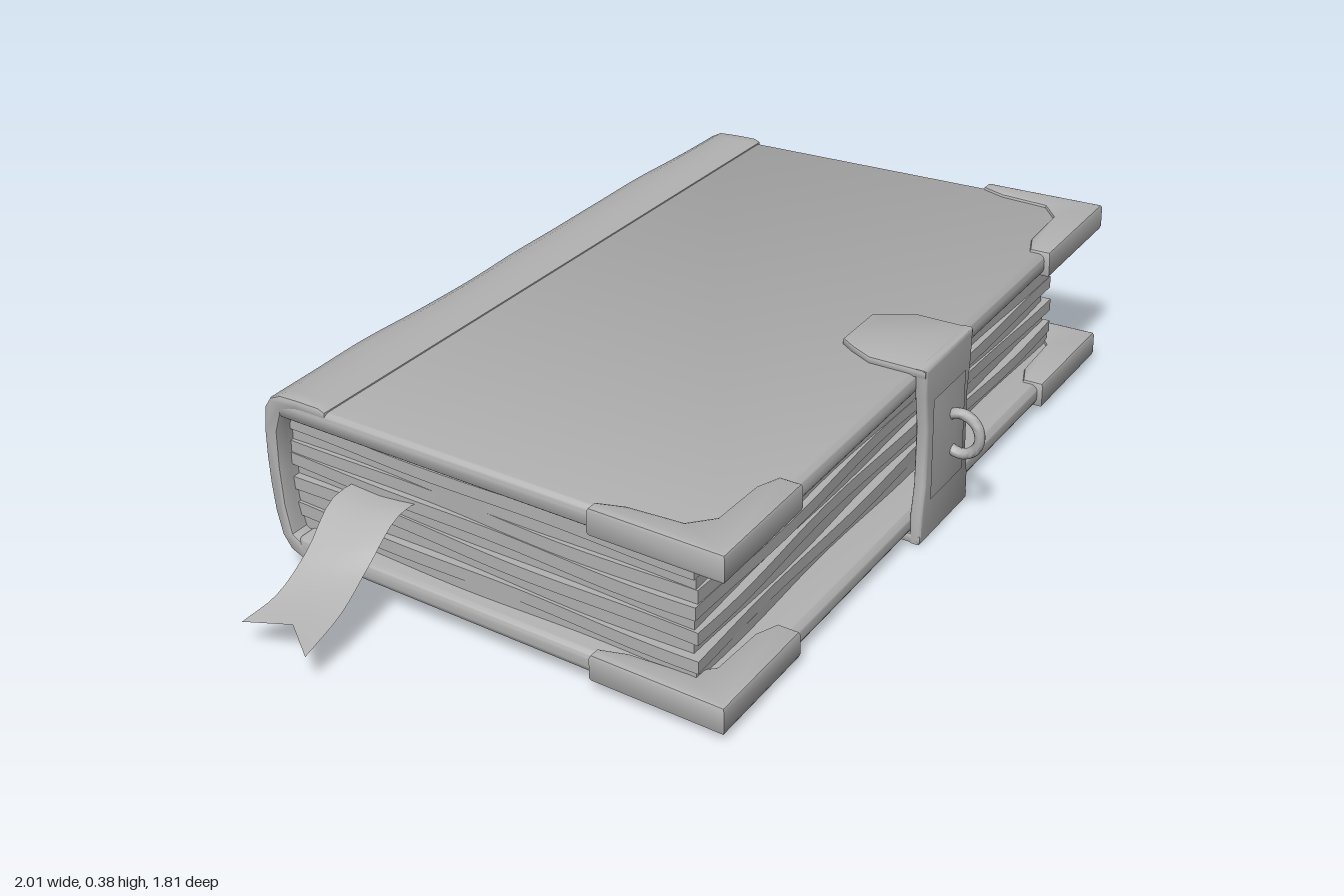
import * as THREE from 'three';
import { toCreasedNormals } from 'three/addons/utils/BufferGeometryUtils.js';
import { RoundedBoxGeometry } from 'three/addons/geometries/RoundedBoxGeometry.js';

// Book space: x runs along the spine (0..L), z from spine (0) to fore edge (1), y up.
const L = 1.6;
// Cover corners on the ground as [x, z]: spine left, spine right, fore right, fore left
const A = [-0.88, 0.02], B = [0.38, -0.91], C = [0.99, -0.205], D = [-0.315, 0.89];

function toWorld(p) {
  const s = p.x / L, t = p.z;
  const mix = (i) => (1 - t) * ((1 - s) * A[i] + s * B[i]) + t * ((1 - s) * D[i] + s * C[i]);
  // the bottom lifts a little towards the spine
  const y = p.y + (1 - t) * (0.035 - 0.025 * p.y / 0.37);
  return p.set(mix(0), y, mix(1));
}

function moveVertices(geo, rule) {
  const pos = geo.attributes.position, p = new THREE.Vector3();
  for (let i = 0; i < pos.count; i++) {
    rule(p.fromBufferAttribute(pos, i));
    pos.setXYZ(i, p.x, p.y, p.z);
  }
  return geo;
}

const shapeOf = (pts) => new THREE.Shape(pts.map(([x, y]) => new THREE.Vector2(x, y)));

// Flat plate from an [x, z] outline between two heights
function plate(pts, y0, y1, bevel = 0.004) {
  const geo = new THREE.ExtrudeGeometry(shapeOf(pts), {
    depth: y1 - y0 - 2 * bevel, bevelThickness: bevel, bevelSize: bevel, bevelOffset: -bevel, bevelSegments: 2,
  });
  return geo.rotateX(Math.PI / 2).translate(0, y1 - bevel, 0);
}

function block(x0, x1, y0, y1, z0, z1, r) {
  return new RoundedBoxGeometry(x1 - x0, y1 - y0, z1 - z0, 3, r)
    .translate((x0 + x1) / 2, (y0 + y1) / 2, (z0 + z1) / 2);
}

export function createModel() {
  const book = new THREE.Group();
  book.name = 'book';
  const grey = new THREE.MeshStandardMaterial({ color: 0xb2b2b2, side: THREE.DoubleSide });
  grey.name = 'grey';

  const add = (name, geo, inWorld = false) => {
    if (!inWorld) moveVertices(geo, toWorld);
    const mesh = new THREE.Mesh(toCreasedNormals(geo, 0.7), grey);
    mesh.name = name;
    book.add(mesh);
    return mesh;
  };

  // Cover boards
  add('bottomCover', block(0, L, 0.017, 0.06, 0.07, 1, 0.014));
  add('topCover', block(0, L, 0.313, 0.357, 0.04, 1, 0.014));

  // Pages: uneven layers with wavy edges
  const layers = 10, y0 = 0.055, step = (0.318 - y0) / layers;
  const jitter = [0.4, 0, 0.8, 0.3, 1, 0.1, 0.6, 0.9, 0.2, 0.5];
  for (let i = 0; i < layers; i++) {
    const inset = 0.016 * jitter[i];
    const x0 = 0.035 + inset, x1 = 1.545 - inset, z0 = 0.03, z1 = 0.932 - inset;
    const geo = new THREE.BoxGeometry(x1 - x0, step, z1 - z0, 40, 1, 24)
      .translate((x0 + x1) / 2, y0 + step * (i + 0.5), (z0 + z1) / 2);
    moveVertices(geo, (p) => {
      const k = Math.sin(Math.PI * (p.y - y0) / (step * layers));
      p.y += 0.007 * k * Math.sin(p.x * 5 + 1) * Math.cos(p.z * 4);
      if (p.z > z1 - 0.001) p.z += 0.004 * Math.sin(p.x * 9 + i * 2.1);
      if (p.x < x0 + 0.001 || p.x > x1 - 0.001) p.x += 0.004 * Math.sin(p.z * 11 + i * 1.7);
    });
    add('pages' + (i + 1), geo);
  }

  // Spine: a C-shaped section wrapped round the back, swelling at three raised bands
  const outer = [[0.155, 0.36], [0.14, 0.366], [0.09, 0.366], [0.05, 0.364], [0.025, 0.352], [0.011, 0.33],
    [0.004, 0.28], [0.003, 0.22], [0.009, 0.16], [0.02, 0.1], [0.035, 0.05], [0.055, 0.024], [0.08, 0.014],
    [0.12, 0.012], [0.155, 0.016]];
  const inner = [[0.155, 0.03], [0.09, 0.04], [0.06, 0.06], [0.045, 0.12], [0.035, 0.2], [0.035, 0.28],
    [0.05, 0.33], [0.09, 0.345], [0.155, 0.345]];
  const spine = new THREE.ExtrudeGeometry(shapeOf([...outer, ...inner].map(([z, y]) => [-z, y])), {
    depth: L - 0.012, steps: 64, bevelThickness: 0.006, bevelSize: 0.005, bevelOffset: -0.005, bevelSegments: 2,
  }).rotateY(Math.PI / 2).translate(0.006, 0, 0);
  moveVertices(spine, (p) => {
    const side = Math.max(0, 1 - p.z / 0.06);
    const height = Math.max(0, 1 - Math.abs(p.y - 0.2) / 0.19);
    const band = Math.cos((p.x / L - 0.5) * Math.PI * 2 / 0.31);
    const swell = Math.min(1, height * (1.5 + 0.7 * band));
    p.z -= side * (0.012 * band * swell + 0.006 * Math.sin(p.x * 7));
  });
  add('spine', spine);

  // Corner guards: L-shaped rims on the fore corners of both boards
  const guard = [[-0.012, 1.012], [0.265, 1.012], [0.265, 0.965], [0.215, 0.945], [0.09, 0.94],
    [0.045, 0.9], [0.035, 0.79], [0.015, 0.735], [-0.012, 0.735]];
  for (const [level, lo, hi] of [['bottom', 0.011, 0.067], ['top', 0.307, 0.364]]) {
    add(level + 'LeftGuard', plate(guard.map(([x, z]) => [L - x, z]), lo, hi, 0.008));
    add(level + 'RightGuard', plate(guard, lo, hi, 0.008));
  }

  // Clasp: a waisted panel over the fore edge with a strap on each board
  const cx = 0.837, w = 0.105;
  const panel = [[-w, 0], [w, 0], [w, 0.06], [w - 0.012, 0.12], [w - 0.014, 0.24], [w - 0.004, 0.31], [w, 0.37],
    [-w, 0.37], [-w + 0.004, 0.31], [-w + 0.014, 0.24], [-w + 0.012, 0.12], [-w, 0.06]];
  add('claspPanel', new THREE.ExtrudeGeometry(shapeOf(panel), {
    depth: 0.014, bevelThickness: 0.006, bevelSize: 0.008, bevelOffset: -0.008, bevelSegments: 3,
  }).translate(cx, 0, 1.004));
  const strap = [[-w, 1.022], [w, 1.022], [w, 0.9], [w - 0.025, 0.85], [0.06, 0.82], [-0.06, 0.82],
    [-w + 0.025, 0.85], [-w, 0.9]].map(([x, z]) => [cx + x, z]);
  add('claspTopStrap', plate(strap, 0.352, 0.37));
  add('claspBottomStrap', plate(strap, 0, 0.02));

  // Faceted boss and pull ring on the clasp
  const boss = new THREE.ConeGeometry(0.1, 0.014, 4, 1).rotateY(Math.PI / 4).rotateX(Math.PI / 2);
  add('claspBoss', boss.scale(1, 1.5, 1).translate(cx, 0.19, 1.033));
  const ring = new THREE.TorusGeometry(0.042, 0.011, 10, 28).rotateY(Math.PI / 2);
  add('claspRing', ring.translate(cx, 0.2, 1.053));

  // Ribbon bookmark: three edge curves skinned into a strip with a forked end
  const curves = [
    [[-0.68, 0.223, 0.13], [-0.79, 0.21, 0.18], [-0.86, 0.14, 0.235], [-0.93, 0.085, 0.275], [-1, 0.052, 0.29]],
    [[-0.64, 0.22, 0.19], [-0.755, 0.205, 0.235], [-0.82, 0.13, 0.295], [-0.87, 0.095, 0.335], [-0.925, 0.07, 0.365]],
    [[-0.6, 0.22, 0.25], [-0.7, 0.215, 0.3], [-0.77, 0.135, 0.325], [-0.84, 0.09, 0.39], [-0.93, 0.06, 0.465]],
  ].map((pts) => new THREE.CatmullRomCurve3(pts.map((p) => new THREE.Vector3(...p))));
  const rows = 16, verts = [], index = [];
  for (let i = 0; i <= rows; i++) {
    for (const c of curves) verts.push(...c.getPoint(i / rows).toArray());
    for (let j = 0; j < 2 && i < rows; j++) {
      const a = i * 3 + j;
      index.push(a, a + 3, a + 1, a + 1, a + 3, a + 4);
    }
  }
  const ribbon = new THREE.BufferGeometry();
  ribbon.setAttribute('position', new THREE.Float32BufferAttribute(verts, 3));
  ribbon.setIndex(index);
  add('ribbon', ribbon, true);

  return book;
}
